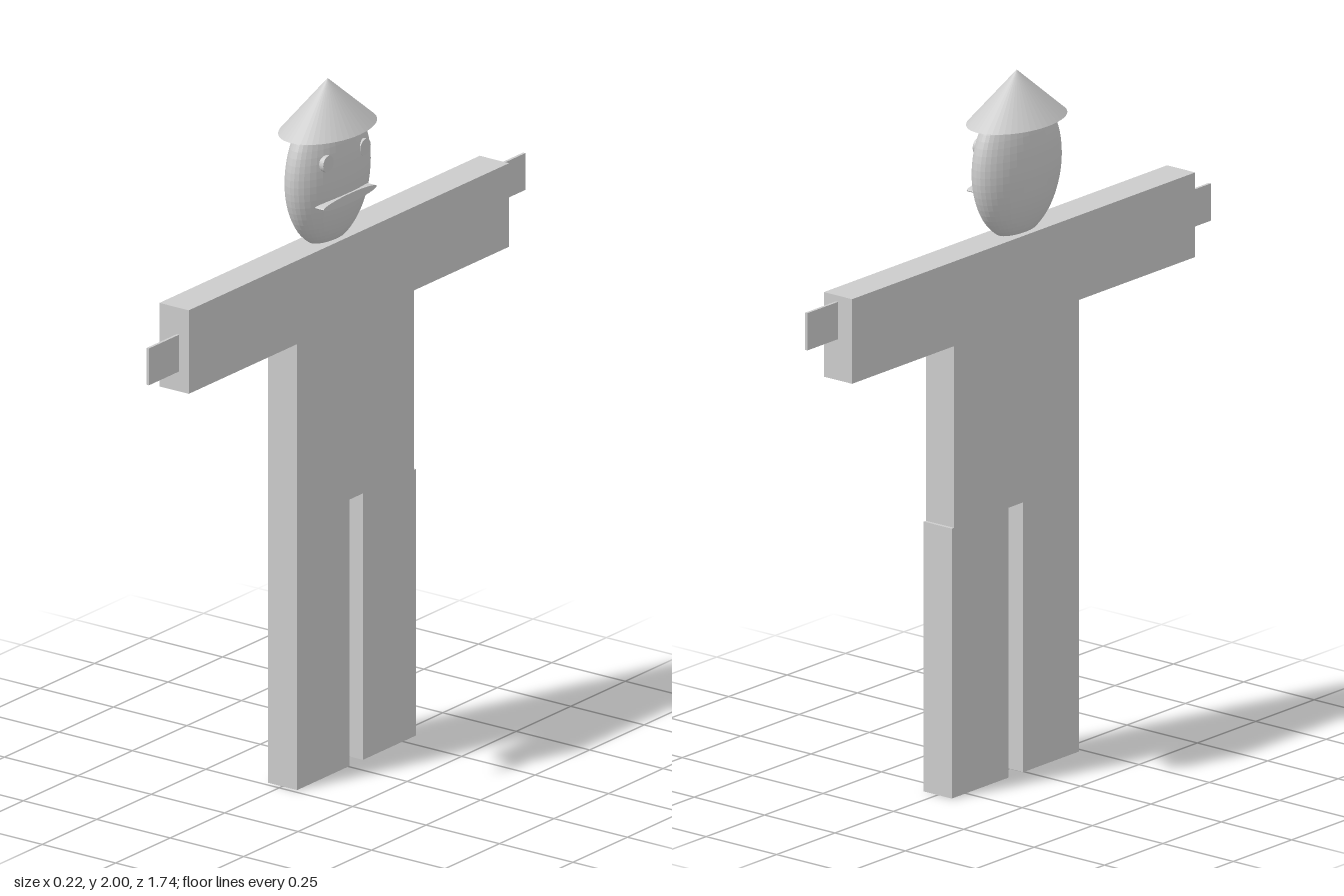
import * as THREE from 'three';

const HEAD_Z = 0.028;

export function createModel() {
  const model = new THREE.Group();
  const material = new THREE.MeshStandardMaterial({ color: 0xcccccc, flatShading: true });

  function add(name, geometry, x, y, z) {
    const mesh = new THREE.Mesh(geometry, material);
    mesh.name = name;
    mesh.position.set(x, y, z);
    model.add(mesh);
    return mesh;
  }

  // Box given by its extents in y and z, centred on x
  function slab(name, y0, y1, z0, z1, thickness = 0.1, x = 0) {
    add(name, new THREE.BoxGeometry(thickness, y1 - y0, z1 - z0), x, (y0 + y1) / 2, (z0 + z1) / 2);
  }

  // Elliptical disc whose axis points along x, from x0 to x1
  function disc(name, x0, x1, y, z, ry, rz) {
    const geometry = new THREE.CylinderGeometry(1, 1, x1 - x0, 32);
    geometry.rotateZ(-Math.PI / 2).scale(1, ry, rz);
    add(name, geometry, (x0 + x1) / 2, y, z);
  }

  // Body: flat slabs, with the face looking along +x
  slab('frontLeg', 0, 0.775, -0.005, 0.235);
  slab('backLeg', 0, 0.775, -0.31, -0.067);
  slab('torso', 0.775, 1.297, -0.3, 0.235);
  slab('arms', 1.297, 1.54, -0.737, 0.732);

  // Thin hands at different heights
  slab('frontHand', 1.355, 1.462, 0.732, 0.87, 0.008, 0.013);
  slab('backHand', 1.415, 1.522, -0.868, -0.737, 0.008, 0.004);

  // Head: flattened egg sunk slightly into the shoulders
  add('head', new THREE.SphereGeometry(1, 40, 32).scale(0.073, 0.21, 0.172), 0, 1.73, HEAD_Z);

  // Conical hat with an oval brim
  add('hat', new THREE.ConeGeometry(1, 0.14, 48).scale(0.112, 1, 0.17), 0, 1.93, HEAD_Z);

  // Face
  for (const side of [1, -1]) {
    disc(side > 0 ? 'frontEye' : 'backEye', 0.035, 0.066, 1.788, HEAD_Z + side * 0.085, 0.024, 0.024);
  }
  disc('mouth', 0.045, 0.077, 1.667, HEAD_Z, 0.014, 0.122);

  return model;
}
